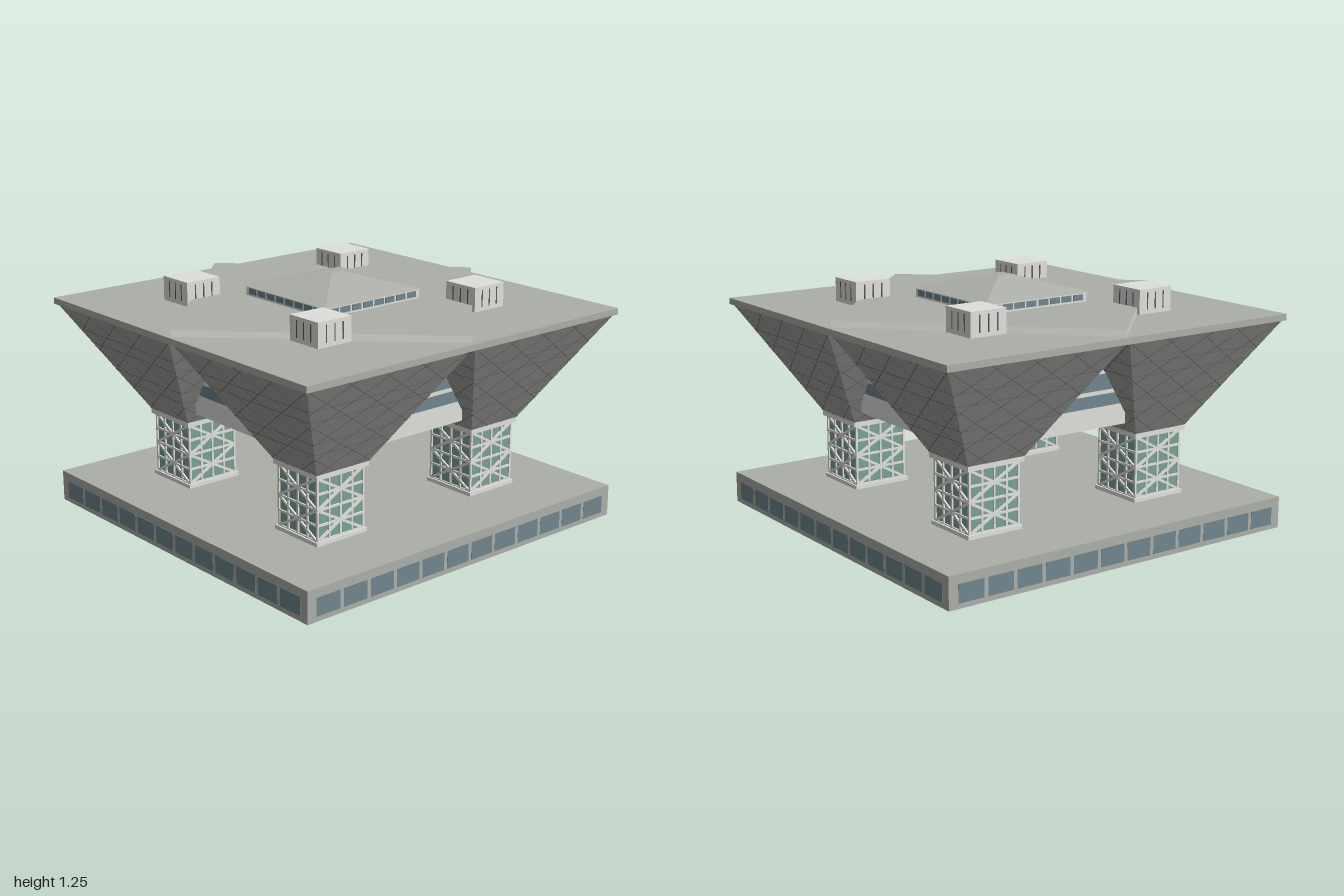
import * as THREE from 'three';

const mat = (name, color) => Object.assign(new THREE.MeshStandardMaterial({ color }), { name });
const concrete = mat('concrete', 0xacaea8);
const pale = mat('paleConcrete', 0xdfdfdb);
const cladding = mat('darkCladding', 0xa2a2a0);
const seam = mat('seamLine', 0x5a5a58);
const glass = mat('blueGlass', 0x70858e);
const teal = mat('tealGlass', 0x7ba096);

const UP = new THREE.Vector3(0, 1, 0);

function group(name, parent) {
  const g = new THREE.Group();
  g.name = name;
  if (parent) parent.add(g);
  return g;
}

// Box given by its size, bottom height and plan position
function box(parent, name, material, w, h, d, x, y0, z) {
  const m = new THREE.Mesh(new THREE.BoxGeometry(w, h, d), material);
  m.position.set(x, y0 + h / 2, z);
  m.name = name;
  parent.add(m);
  return m;
}

// Thin square bar between two points
function bar(parent, name, material, a, b, t) {
  const p = new THREE.Vector3(...a), q = new THREE.Vector3(...b);
  const m = new THREE.Mesh(new THREE.BoxGeometry(t, p.distanceTo(q), t), material);
  m.position.copy(p).add(q).multiplyScalar(0.5);
  m.quaternion.setFromUnitVectors(UP, q.sub(p).normalize());
  m.name = name;
  parent.add(m);
}

// Square frustum with flat sides
function frustum(parent, name, material, topHalf, bottomHalf, y0, y1) {
  const r = Math.SQRT2;
  const g = new THREE.CylinderGeometry(topHalf * r, bottomHalf * r, y1 - y0, 4).toNonIndexed();
  g.rotateY(Math.PI / 4);
  g.computeVertexNormals();
  const m = new THREE.Mesh(g, material);
  m.position.y = (y0 + y1) / 2;
  m.name = name;
  parent.add(m);
}

// Repeat a front-facing build on all four sides
function fourSides(parent, name, build) {
  for (let i = 0; i < 4; i++) {
    const side = group(name, parent);
    side.rotation.y = i * Math.PI / 2;
    build(side);
  }
}

function windowRow(parent, count, pitch, w, h, y0, z) {
  for (let i = 0; i < count; i++) {
    box(parent, 'window', glass, w, h, 0.006, (i - (count - 1) / 2) * pitch, y0, z);
  }
}

// Hollow plinth, open underneath
function buildBase() {
  const base = group('base');
  box(base, 'baseDeck', concrete, 2, 0.01, 2, 0, 0.15, 0);
  const under = new THREE.Mesh(new THREE.PlaneGeometry(1.98, 1.98), cladding);
  under.rotation.x = Math.PI / 2;
  under.position.y = 0.149;
  under.name = 'baseCeiling';
  base.add(under);
  fourSides(base, 'baseSide', (side) => {
    box(side, 'baseWall', concrete, 2, 0.15, 0.01, 0, 0, 0.995);
    windowRow(side, 12, 0.16, 0.14, 0.09, 0.025, 0.998);
  });
  return base;
}

// Glazed tower with an exposed lattice
function buildTower() {
  const tower = group('tower');
  const y0 = 0.18, y1 = 0.49, r = 0.14, mid = (y0 + y1) / 2;
  box(tower, 'towerFoot', pale, 0.31, 0.02, 0.31, 0, 0.16, 0);
  box(tower, 'towerGlass', teal, 0.275, y1 - y0, 0.275, 0, y0, 0);
  box(tower, 'towerCap', pale, 0.32, 0.025, 0.32, 0, y1, 0);
  fourSides(tower, 'lattice', (side) => {
    for (let i = 0; i <= 4; i++) {
      const x = -r + i * 0.07;
      bar(side, 'latticePost', pale, [x, y0, r], [x, y1, r], 0.011);
      const y = y0 + i * (y1 - y0) / 4;
      bar(side, 'latticeRail', pale, [-r, y, r], [r, y, r], 0.011);
    }
    for (const [a, b] of [[y0, mid], [mid, y1]]) {
      bar(side, 'crossBrace', pale, [-r, a, r], [r, b, r], 0.013);
      bar(side, 'crossBrace', pale, [-r, b, r], [r, a, r], 0.013);
    }
  });
  return tower;
}

// Inverted pyramid with a net of seams on each face
function buildFunnel() {
  const funnel = group('funnel');
  const y0 = 0.515, y1 = 1.06, lo = 0.16, hi = 0.486, H = y1 - y0;
  const k = (hi - lo) / H, run = 1.6;
  frustum(funnel, 'funnelCladding', cladding, hi, lo, y0, y1);
  fourSides(funnel, 'funnelSeams', (side) => {
    for (const y of [0.655, 0.725, 0.865, 0.935]) {
      const w = lo + k * (y - y0);
      bar(side, 'levelSeam', seam, [-w, y, w], [w, y, w], 0.0025);
    }
    // Diagonals clipped to the sloping face edges
    for (let c = -1.05; c < 0.15; c += 0.22) {
      const h0 = Math.max(0, (-lo - c) / (run + k));
      const h1 = Math.min(H, (lo - c) / (run - k));
      if (h1 - h0 < 0.02) continue;
      for (const s of [-1, 1]) {
        const at = (h) => [s * (c + run * h), y0 + h, lo + k * h];
        bar(side, 'diagonalSeam', seam, at(h0), at(h1), 0.0025);
      }
    }
  });
  return funnel;
}

// Cross-shaped hall hung between the funnels
function buildHall() {
  const hall = group('hall');
  const layers = [
    ['hallFascia', pale, 0.58, 0.685], ['hallGlass', glass, 0.685, 0.745],
    ['hallBand', pale, 0.745, 0.765], ['hallGlass', glass, 0.765, 0.845],
    ['hallBand', pale, 0.845, 0.863], ['hallGlass', glass, 0.863, 0.952],
    ['hallBand', pale, 0.952, 0.972], ['hallGlass', glass, 0.972, 1.06],
  ];
  for (const [name, material, a, b] of layers) {
    box(hall, name, material, 0.54, b - a, 1.32, 0, a, 0);
    for (const s of [-1, 1]) box(hall, name, material, 0.39, b - a, 0.54, s * 0.465, a, 0);
  }
  return hall;
}

function buildRoof() {
  const roof = group('roof');
  box(roof, 'roofSlab', concrete, 2, 0.032, 2, 0, 1.06, 0);
  // Raised diamond with a pale rim
  const side = 0.98 * Math.SQRT2;
  const faces = [pale, pale, concrete, concrete, pale, pale];
  box(roof, 'raisedDiamond', faces, side, 0.033, side, 0, 1.092, 0).rotation.y = Math.PI / 4;

  // Central lantern with a hipped roof
  const lantern = group('lantern', roof);
  box(lantern, 'lanternWall', pale, 0.61, 0.05, 0.61, 0, 1.125, 0);
  fourSides(lantern, 'lanternSide', (s) => windowRow(s, 8, 0.072, 0.06, 0.03, 1.135, 0.305));
  frustum(lantern, 'lanternRoof', concrete, 0.04, 0.318, 1.173, 1.255);

  // Plant rooms with slim louvres
  for (const x of [-0.5, 0.5]) for (const z of [-0.5, 0.5]) {
    const room = group('plantRoom', roof);
    room.position.set(x, 0, z);
    box(room, 'plantRoomWall', pale, 0.2, 0.123, 0.2, 0, 1.092, 0);
    fourSides(room, 'louvres', (s) => {
      for (const u of [-0.05, 0, 0.05]) box(s, 'louvre', seam, 0.007, 0.085, 0.004, u, 1.113, 0.099);
    });
  }
  return roof;
}

export function createModel() {
  const model = group('exhibitionHall');
  model.add(buildBase(), buildHall(), buildRoof());
  for (const x of [-0.5, 0.5]) for (const z of [-0.5, 0.5]) {
    const leg = group('leg', model);
    leg.position.set(x, 0, z);
    leg.add(buildTower(), buildFunnel());
  }
  return model;
}
